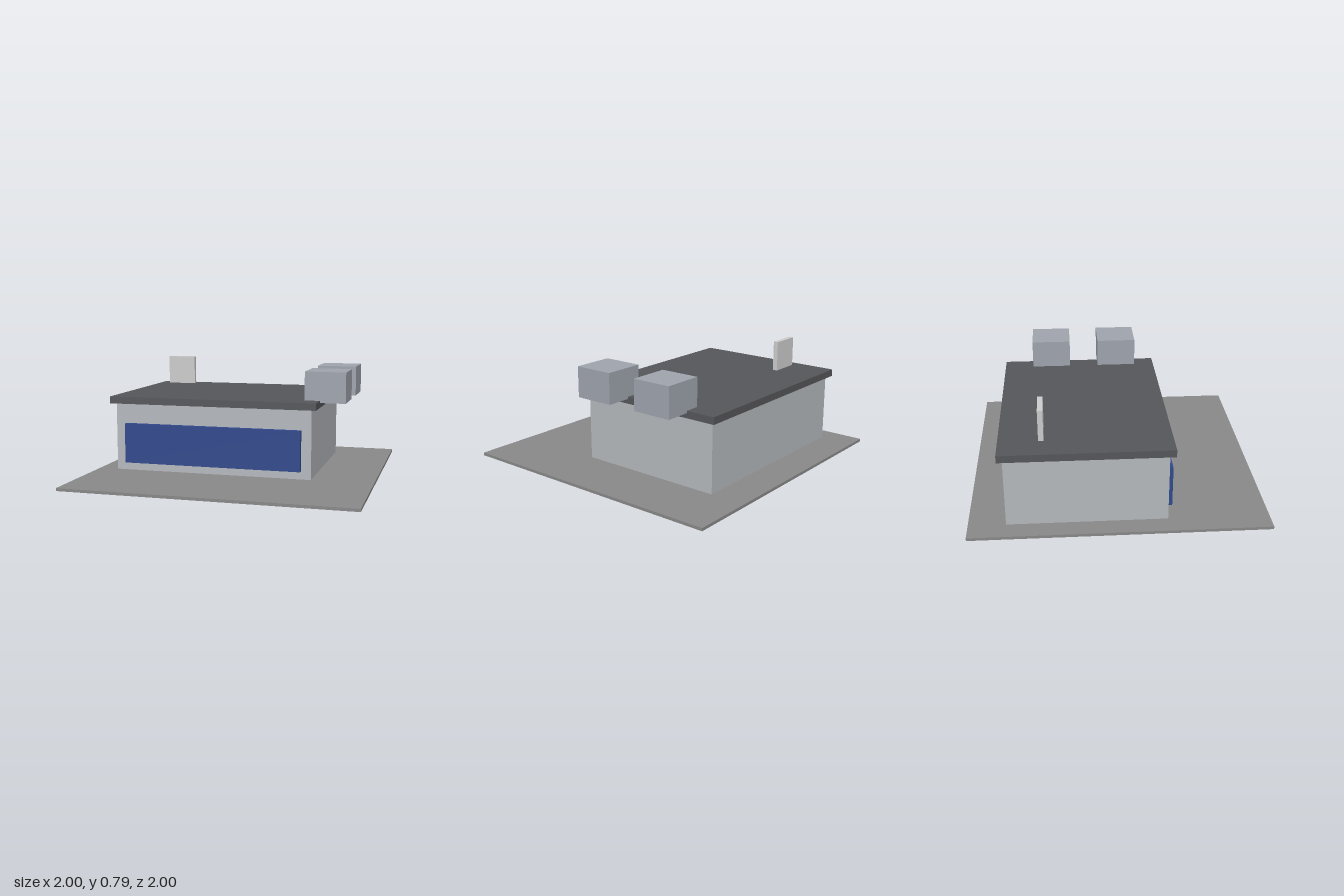
import * as THREE from 'three';

// Box given by its lower and upper corner
function block(name, color, min, max) {
  const size = max.map((v, i) => v - min[i]);
  const mesh = new THREE.Mesh(
    new THREE.BoxGeometry(...size),
    new THREE.MeshStandardMaterial({ color })
  );
  mesh.position.set(...min.map((v, i) => v + size[i] / 2));
  mesh.name = name;
  return mesh;
}

export function createModel() {
  const model = new THREE.Group();
  model.name = 'shopBuilding';

  // Ground slab, walls and overhanging flat roof
  model.add(block('groundSlab', 0x888888, [-1, 0, -1], [1, 0.02, 1]));
  model.add(block('walls', 0xb4b8bc, [-0.86, 0.005, -0.75], [0.57, 0.505, 0.32]));
  model.add(block('roof', 0x55565a, [-0.895, 0.505, -0.785], [0.605, 0.555, 0.357]));

  // Wide blue shop window standing proud of the front wall
  model.add(block('frontWindow', 0x30488c, [-0.785, 0.077, 0.31], [0.5, 0.362, 0.355]));

  // Thin panel hovering just above the roof
  model.add(block('roofPanel', 0xcccccc, [-0.752, 0.576, -0.52], [-0.538, 0.79, -0.485]));

  // Two roof units hanging over the left edge
  for (const z of [-0.573, -0.074]) {
    model.add(block('roofUnit', 0x9ea3ad, [0.498, 0.54, z], [0.784, 0.755, z + 0.285]));
  }

  return model;
}
